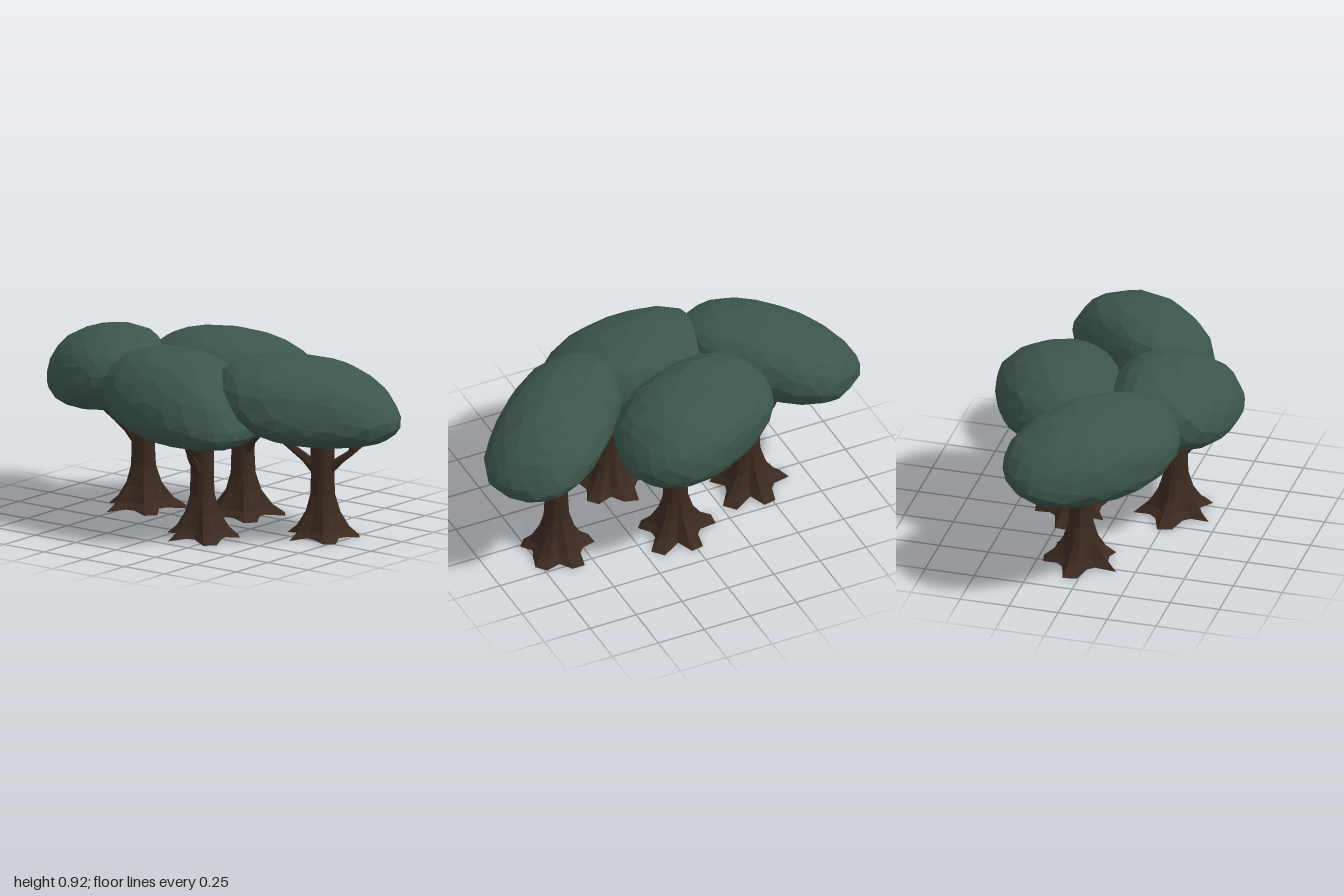
import * as THREE from 'three';
import { mergeGeometries, mergeVertices } from 'three/addons/utils/BufferGeometryUtils.js';

const V = (x, y, z) => new THREE.Vector3(x, y, z);
const noise = (x, y, z) => {
  const s = Math.sin(x * 127.1 + y * 311.7 + z * 74.7) * 43758.5453;
  return (s - Math.floor(s)) * 2 - 1;
};

// Faceted leaf crown: a lumpy squarish ellipsoid, turned in plan, whose top leans
function crownGeometry({ centre: [cx, cz], long, wide, turn, square, rim, lean, bottom }) {
  let g = new THREE.IcosahedronGeometry(1, 3);
  g.deleteAttribute('uv');
  g.deleteAttribute('normal');
  g = mergeVertices(g, 1e-3);
  const p = g.attributes.position;
  const top = 0.918, c = Math.cos(turn), s = Math.sin(turn);
  for (let i = 0; i < p.count; i++) {
    const d = V(p.getX(i), p.getY(i), p.getZ(i));
    d.add(V(noise(i, 1, cx), noise(i, 2, cx), noise(i, 3, cx)).multiplyScalar(0.07)).normalize();
    const lump = 1 + 0.015 * (Math.sin(5 * d.x + 9 * cx) + Math.sin(5 * d.z + 4 * d.y + 9 * cz));
    const h = lump * Math.pow(Math.hypot(d.x, d.z), 0.88);
    const angle = Math.atan2(d.z, d.x);
    const ca = Math.cos(angle), sa = Math.sin(angle);
    const r = h / Math.pow(Math.abs(ca) ** square + Math.abs(sa) ** square, 1 / square);
    const u = long * r * ca, v = wide * r * sa;
    const x = u * c - v * s + lean[0] * d.y;
    const z = u * s + v * c + lean[1] * d.y;
    const rise = Math.pow(Math.abs(d.y), 0.95);
    p.setXYZ(i, cx + x, rim + rise * ((d.y > 0 ? top : bottom) - rim), cz + z);
  }
  g.computeVertexNormals();
  return g;
}

// Trunk rows from ground to top: height, radius on a root, radius between roots
const TRUNK = [
  [0, 0.198, 0.13], [0.045, 0.142, 0.1], [0.12, 0.092, 0.076],
  [0.21, 0.064, 0.06], [0.3, 0.059, 0.057], [0.49, 0.06, 0.058],
];

// Hollow trunk with pointed roots around its foot
function trunkGeometry(seed) {
  const rows = TRUNK.length - 1, sides = 18;
  const g = new THREE.CylinderGeometry(1, 1, 1, sides, rows, true);
  const p = g.attributes.position;
  for (let i = 0; i < p.count; i++) {
    const x = p.getX(i), z = p.getZ(i);
    const [y, outer, inner] = TRUNK[Math.round((p.getY(i) + 0.5) * rows)];
    const k = (Math.round(Math.atan2(z, x) / (Math.PI * 2) * sides) + sides) % sides;
    const onRoot = k % 2 === 0;
    const spread = 1 + 0.1 * noise(k, seed, 5) * Math.max(0, 1 - y / 0.15);
    const r = (onRoot ? outer : inner) * spread;
    p.setXYZ(i, x * r, y + (y === 0 && !onRoot ? 0.012 : 0), z * r);
  }
  return g;
}

// Tapered bough between two points
function bough(a, b, r0, r1) {
  const dir = b.clone().sub(a);
  const g = new THREE.CylinderGeometry(r1, r0, dir.length(), 6);
  g.applyQuaternion(new THREE.Quaternion().setFromUnitVectors(V(0, 1, 0), dir.normalize()));
  const m = a.clone().add(b).multiplyScalar(0.5);
  return g.translate(m.x, m.y, m.z);
}

// Forked branch leaving the trunk along +x
function branchGeometry() {
  const start = V(0.03, 0.335, 0), elbow = V(0.09, 0.39, 0.005), fork = V(0.145, 0.43, 0);
  return mergeGeometries([
    bough(start, elbow, 0.03, 0.022),
    bough(elbow, fork, 0.022, 0.018),
    bough(fork, V(0.18, 0.53, 0.02), 0.017, 0.011),
    bough(fork, V(0.24, 0.51, -0.035), 0.017, 0.01),
  ]);
}

// Trunk and crown placement in plan; turn runs from +x towards +z
const TREES = [
  {
    name: 'rightTree', trunk: [-0.45, -0.04], branches: [0.3, 3.3], centre: [-0.6, 0.055],
    long: 0.45, wide: 0.29, turn: 0.84, square: 2.4, rim: 0.695, lean: [0.1, 0.03], bottom: 0.5,
  },
  {
    name: 'backTree', trunk: [0.03, -0.22], branches: [2.9, 5.9], centre: [-0.04, -0.27],
    long: 0.42, wide: 0.315, turn: -0.35, square: 2.3, rim: 0.68, lean: [-0.08, 0.05], bottom: 0.47,
  },
  {
    name: 'leftTree', trunk: [0.62, -0.1], branches: [0.4, 3.5], centre: [0.6, -0.02],
    long: 0.435, wide: 0.287, turn: -0.785, square: 2.4, rim: 0.665, lean: [-0.13, 0.06], bottom: 0.475,
  },
  {
    name: 'frontTree', trunk: [0.16, 0.27], branches: [-1.3, 2.3], centre: [0.075, 0.3],
    long: 0.408, wide: 0.297, turn: 0, square: 2.6, rim: 0.64, lean: [-0.13, -0.05], bottom: 0.475,
  },
];

export function createModel() {
  const leaf = new THREE.MeshStandardMaterial({ color: 0x3c564c, flatShading: true });
  leaf.name = 'leafGreen';
  const bark = new THREE.MeshStandardMaterial({
    color: 0x3b2a20, flatShading: true, side: THREE.DoubleSide,
  });
  bark.name = 'barkBrown';

  const model = new THREE.Group();
  model.name = 'grove';
  const branch = branchGeometry();
  TREES.forEach((t, i) => {
    const tree = new THREE.Group();
    tree.name = t.name;
    const add = (name, geometry, material) => {
      const mesh = new THREE.Mesh(geometry, material);
      mesh.name = name;
      tree.add(mesh);
      return mesh;
    };
    const [x, z] = t.trunk;
    add('trunk', trunkGeometry(i + 1), bark).position.set(x, 0, z);
    t.branches.forEach((angle) => {
      const b = add('branch', branch, bark);
      b.position.set(x, 0, z);
      b.rotation.y = angle;
    });
    add('crown', crownGeometry(t), leaf);
    model.add(tree);
  });
  return model;
}
